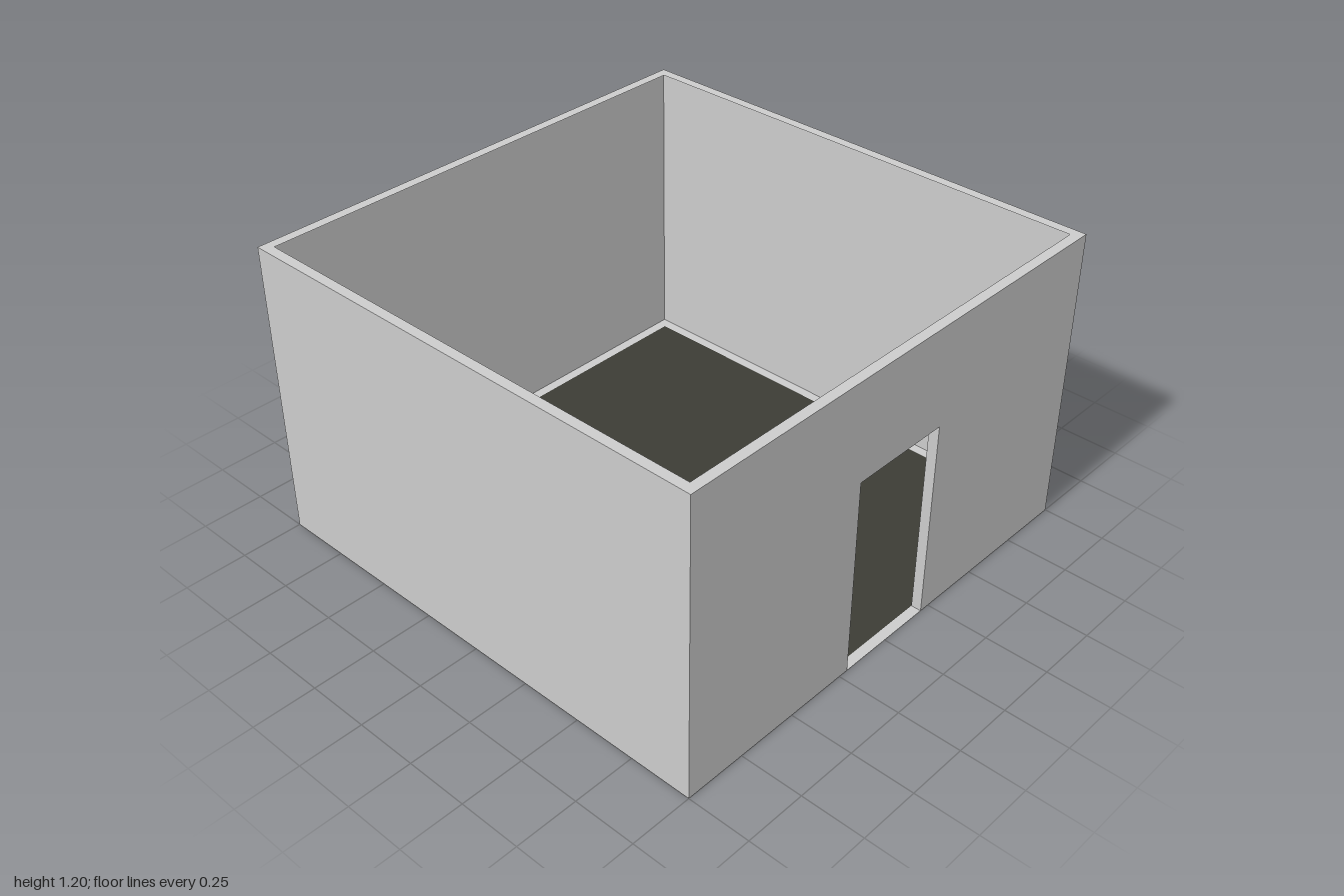
import * as THREE from 'three';

const HEIGHT = 1.2, HALF = 1, THICK = 0.04, DOOR = 0.208, DOOR_TOP = 0.8;

export function createModel() {
  const group = new THREE.Group();
  const wallGrey = new THREE.MeshStandardMaterial({ color: 0xcccccc, side: THREE.DoubleSide });
  wallGrey.name = 'wall grey';
  const floorDark = new THREE.MeshStandardMaterial({ color: 0x3c3c35, side: THREE.DoubleSide });
  floorDark.name = 'floor dark';

  const add = (name, geometry, material, x = 0, y = 0, z = 0) => {
    const mesh = new THREE.Mesh(geometry, material);
    mesh.name = name;
    mesh.position.set(x, y, z);
    group.add(mesh);
    return mesh;
  };
  const polygon = (points) => new THREE.Shape(points.map(([x, y]) => new THREE.Vector2(x, y)));
  const square = (h) => [[-h, -h], [h, -h], [h, h], [-h, h]];

  // Front wall with the doorway cut up from the ground
  const front = polygon([
    [-HALF, 0], [-DOOR, 0], [-DOOR, DOOR_TOP], [DOOR, DOOR_TOP],
    [DOOR, 0], [HALF, 0], [HALF, HEIGHT], [-HALF, HEIGHT],
  ]);
  add('frontWall', new THREE.ShapeGeometry(front), wallGrey, 0, 0, HALF);

  // Plain walls
  const wall = new THREE.PlaneGeometry(2 * HALF, HEIGHT);
  add('backWall', wall, wallGrey, 0, HEIGHT / 2, -HALF).rotation.y = Math.PI;
  for (const [name, side] of [['leftWall', 1], ['rightWall', -1]]) {
    add(name, wall, wallGrey, side * HALF, HEIGHT / 2, 0).rotation.y = side * Math.PI / 2;
  }

  // Full-height jambs on both sides of the doorway
  const jamb = new THREE.PlaneGeometry(THICK, HEIGHT);
  for (const [name, side] of [['leftJamb', 1], ['rightJamb', -1]]) {
    add(name, jamb, wallGrey, side * DOOR, HEIGHT / 2, HALF - THICK / 2).rotation.y = -side * Math.PI / 2;
  }

  // Flat rims at the top and foot of the walls
  const ring = polygon(square(HALF));
  ring.holes.push(polygon(square(HALF - THICK)));
  const rim = new THREE.ShapeGeometry(ring).rotateX(-Math.PI / 2);
  add('topRim', rim, wallGrey, 0, HEIGHT, 0);
  add('baseRim', rim, wallGrey);

  // Floor inside the base rim
  const inner = 2 * (HALF - THICK);
  add('floor', new THREE.PlaneGeometry(inner, inner).rotateX(-Math.PI / 2), floorDark);

  return group;
}
